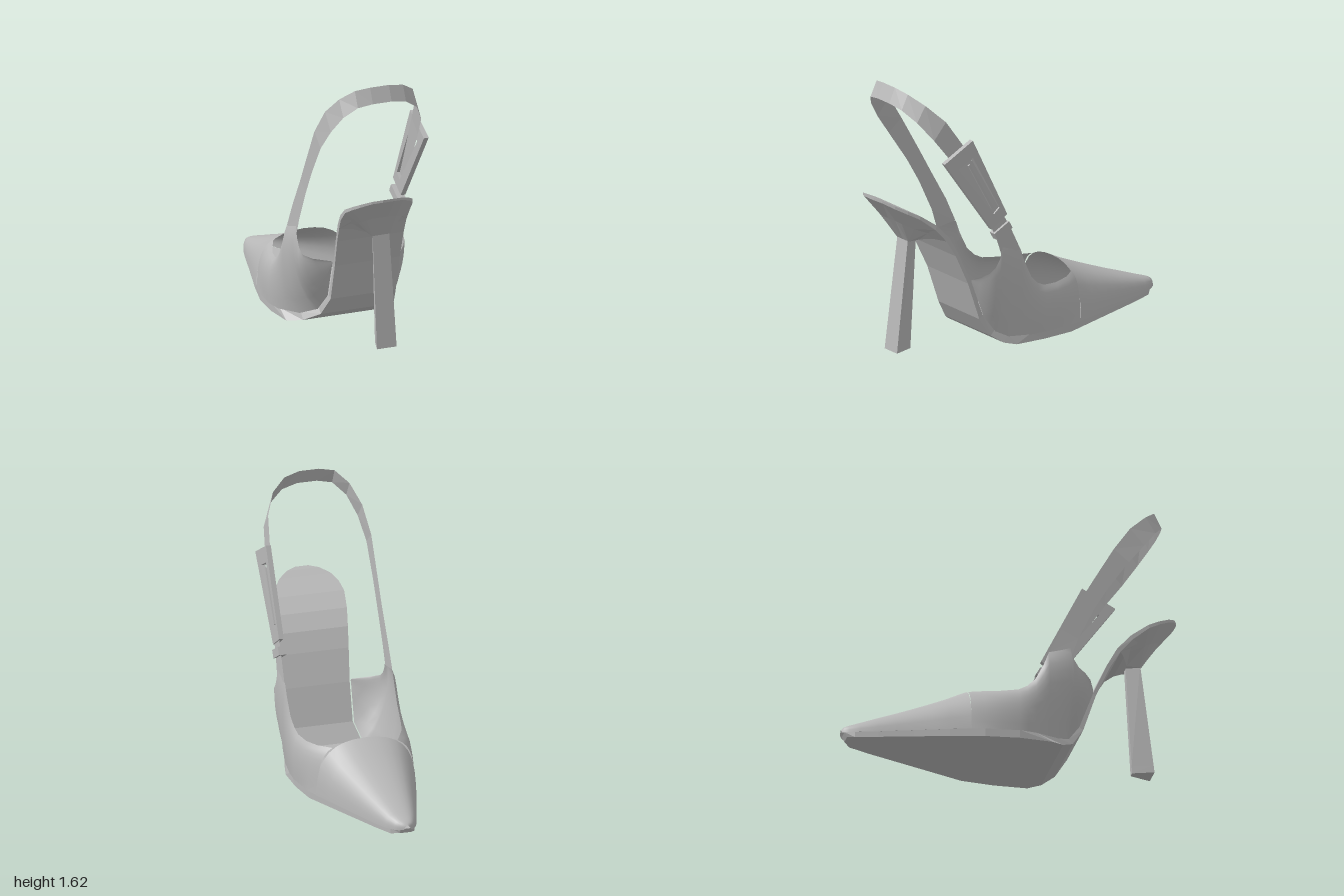
import * as THREE from 'three';

const grey = new THREE.MeshStandardMaterial({ color: 0xb8b8b8, side: THREE.DoubleSide });
grey.name = 'grey leather';

// Surface through rows of [x, y, z] points; closed rows wrap around.
function loft(rows, { closed = false, flat = false } = {}) {
  const n = rows[0].length, index = [];
  for (let i = 0; i < rows.length - 1; i++) {
    for (let j = 0; j < (closed ? n : n - 1); j++) {
      const k = (j + 1) % n, a = i * n + j, b = i * n + k, c = a + n, d = b + n;
      index.push(a, b, d, a, d, c);
    }
  }
  if (closed) {
    const last = (rows.length - 1) * n;
    for (let j = 1; j < n - 1; j++) {
      index.push(0, j + 1, j, last, last + j, last + j + 1);
    }
  }
  let g = new THREE.BufferGeometry();
  g.setAttribute('position', new THREE.Float32BufferAttribute(rows.flat(2), 3));
  g.setIndex(index);
  if (flat) g = g.toNonIndexed();
  g.computeVertexNormals();
  return g;
}

// Linear lookup in a table whose first column falls from heel to toe.
function lookup(table, z) {
  let i = 0;
  while (i < table.length - 2 && table[i + 1][0] > z) i++;
  const a = table[i], b = table[i + 1];
  const t = THREE.MathUtils.clamp((a[0] - z) / (a[0] - b[0]), 0, 1);
  return a.map((v, k) => THREE.MathUtils.lerp(v, b[k], t));
}

// Footbed stations: z, y, left edge x, right edge x, underside z, underside y
const SOLE = [
  [1.0, 0.965, -0.07, 0.01, 1.0, 0.95], [0.975, 0.955, -0.13, 0.07, 0.975, 0.94],
  [0.93, 0.93, -0.185, 0.13, 0.93, 0.912], [0.87, 0.9, -0.215, 0.175, 0.87, 0.88],
  [0.8, 0.865, -0.225, 0.205, 0.805, 0.845], [0.7, 0.795, -0.21, 0.23, 0.71, 0.77],
  [0.62, 0.71, -0.19, 0.24, 0.64, 0.69], [0.56, 0.6, -0.175, 0.25, 0.58, 0.59],
  [0.48, 0.42, -0.155, 0.26, 0.5, 0.41], [0.4, 0.2, -0.148, 0.268, 0.425, 0.18],
  [0.33, 0.1, -0.18, 0.285, 0.355, 0.07], [0.25, 0.06, -0.26, 0.31, 0.28, 0.02],
  [0.1, 0.05, -0.33, 0.33, 0.2, 0], [0, 0.05, -0.342, 0.335, 0, 0],
  [-0.2, 0.05, -0.32, 0.315, -0.2, 0], [-0.4, 0.05, -0.265, 0.245, -0.4, 0.005],
  [-0.6, 0.05, -0.2, 0.175, -0.6, 0.01], [-0.8, 0.05, -0.137, 0.105, -0.8, 0.015],
  [-0.93, 0.053, -0.093, 0.055, -0.93, 0.02], [-0.985, 0.06, -0.06, 0.01, -0.97, 0.03],
];

// Upper wall stations: z, top y, left top x, left bulge x, right top x, right bulge x
const WALL = [
  [0.48, 0.435, -0.17, -0.16, 0.275, 0.268], [0.44, 0.452, -0.27, -0.24, 0.31, 0.3],
  [0.4, 0.47, -0.315, -0.31, 0.335, 0.335], [0.36, 0.5, -0.32, -0.335, 0.342, 0.35],
  [0.33, 0.55, -0.32, -0.35, 0.343, 0.355], [0.31, 0.62, -0.32, -0.355, 0.343, 0.355],
  [0.25, 0.6, -0.32, -0.358, 0.343, 0.358], [0.18, 0.58, -0.32, -0.36, 0.34, 0.36],
  [0.15, 0.5, -0.322, -0.36, 0.337, 0.36], [0.1, 0.4, -0.322, -0.362, 0.332, 0.36],
  [0.05, 0.35, -0.32, -0.363, 0.325, 0.358], [0, 0.325, -0.312, -0.362, 0.318, 0.355],
  [-0.1, 0.318, -0.285, -0.35, 0.3, 0.345], [-0.2, 0.325, -0.24, -0.325, 0.265, 0.32],
  [-0.28, 0.33, -0.2, -0.3, 0.2, 0.285],
];

// Toe box stations: z, crown height
const TOE = [[-0.28, 0.372], [-0.4, 0.315], [-0.5, 0.275], [-0.6, 0.237], [-0.7, 0.2],
  [-0.8, 0.166], [-0.9, 0.13], [-0.96, 0.11], [-0.985, 0.1]];

function cubic(p, count) {
  const curve = new THREE.CubicBezierCurve3(...p.map((q) => new THREE.Vector3(...q)));
  return curve.getPoints(count).map((v) => v.toArray());
}

function wall(side) {
  const s = side < 0 ? 0 : 1;
  return loft(WALL.map((w) => {
    const z = w[0], sole = lookup(SOLE, z), yb = sole[1], dy = w[1] - yb, m = w[3 + 2 * s];
    return cubic([[sole[2 + s] + side * 0.008, yb - 0.005, z], [m, yb + 0.42 * dy, z],
      [m, yb + 0.85 * dy, z], [w[2 + 2 * s], w[1], z]], 8);
  }));
}

function toeBox() {
  const rows = TOE.map(([z, h]) => {
    const [, yb, l, r] = lookup(SOLE, z), c = (l + r) / 2, w = (r - l) / 2 + 0.012, d = h - yb;
    const half = (s) => cubic([[c + s * w, yb - 0.005, z], [c + s * w, yb + 0.75 * d, z],
      [c + s * 0.65 * w, h, z], [c, h, z]], 8);
    return [...half(-1), ...half(1).reverse().slice(1)];
  });
  rows.push(rows[0].map((p, j) => [-0.027 + 0.022 * (j / 8 - 1), 0.06 + 0.025 * Math.sin(j / 16 * Math.PI), -1]));
  return loft(rows);
}

// Cone under the heel seat, narrowing from the seat rim to the heel post
function heelCup() {
  const seat = SOLE.filter((s) => s[0] >= 0.62);
  const rim = [...seat.map((s) => [s[2], s[5], s[4]]), ...seat.map((s) => [s[3], s[5], s[4]]).reverse()];
  const clamp = THREE.MathUtils.clamp;
  const neck = rim.map(([x, , z]) => [clamp(x, -0.045, 0.068), 0.67, clamp(z, 0.71, 0.79)]);
  const mid = rim.map((p, i) => p.map((v, k) => (v + neck[i][k]) / 2 + (k === 1 ? 0.01 : 0)));
  return loft([rim, mid, neck], { closed: true, flat: true });
}

// Heel post section: wide flat back, narrow front
function postRow(y) {
  const t = y / 0.69, mix = THREE.MathUtils.lerp;
  const back = mix(0.875, 0.79, t), front = mix(0.75, 0.71, t), w = mix(0.063, 0.053, t);
  return [[0.01 - w, y, back], [0.01 + w, y, back], [0.03, y, front], [-0.01, y, front]];
}

// Sling strap: centre x, y, z then half-width vector y, z
const STRAP = [
  [0.343, 0.575, 0.25, 0.01, -0.066], [0.34, 0.71, 0.305, 0.025, -0.05],
  [0.332, 0.9, 0.405, 0.022, -0.042], [0.322, 1.05, 0.49, 0.025, -0.042],
  [0.305, 1.25, 0.615, 0.038, -0.045], [0.283, 1.39, 0.715, 0.05, -0.042],
  [0.22, 1.495, 0.805, 0.047, -0.03], [0.13, 1.555, 0.86, 0.045, -0.022],
  [0.03, 1.575, 0.88, 0.045, -0.02], [-0.09, 1.575, 0.88, 0.045, -0.02],
  [-0.18, 1.56, 0.865, 0.046, -0.022], [-0.25, 1.495, 0.805, 0.048, -0.03],
  [-0.295, 1.39, 0.715, 0.05, -0.042], [-0.317, 1.25, 0.615, 0.038, -0.045],
  [-0.315, 1.05, 0.49, 0.025, -0.042], [-0.314, 0.9, 0.405, 0.022, -0.042],
  [-0.316, 0.71, 0.305, 0.025, -0.05], [-0.32, 0.575, 0.25, 0.01, -0.066],
];

// Tapered buckle frame drawn in the (z, y) plane
function buckleFrame() {
  const pts = (list) => list.map((p) => new THREE.Vector2(...p));
  const shape = new THREE.Shape(pts([[0.725, 1.205], [0.39, 0.745], [0.28, 0.82], [0.525, 1.315]]));
  shape.holes.push(new THREE.Path(pts([[0.627, 1.155], [0.525, 1.21], [0.335, 0.87], [0.375, 0.835]])));
  const g = new THREE.ExtrudeGeometry(shape, { depth: 0.03, bevelEnabled: false });
  return g.rotateY(-Math.PI / 2).translate(0.345, 0, 0);
}

export function createModel() {
  const shoe = new THREE.Group();
  shoe.name = 'slingbackShoe';
  const add = (name, geometry) => {
    const mesh = new THREE.Mesh(geometry, grey);
    mesh.name = name;
    shoe.add(mesh);
    return mesh;
  };

  // Footbed and outsole in one strip
  add('sole', loft(SOLE.map(([z, y, l, r, zb, yb]) =>
    [[l, y, z], [r, y, z], [r, yb, zb], [l, yb, zb]]), { closed: true, flat: true }));

  // Upper
  add('toeBox', toeBox());
  add('leftWall', wall(1));
  add('rightWall', wall(-1));

  // Heel
  add('heelCup', heelCup());
  add('heelPost', loft([postRow(0.045), postRow(0.69)], { closed: true, flat: true }));
  add('heelTip', loft([postRow(0), postRow(0.045)], { closed: true, flat: true }));

  // Strap with buckle, prong and keeper
  add('slingStrap', loft(STRAP.map(([x, y, z, dy, dz]) =>
    [[x, y - dy, z - dz], [x, y + dy, z + dz]]), { flat: true }));
  add('buckleFrame', buckleFrame());
  const lean = Math.atan2(0.27, 0.48);
  const prong = add('buckleProng', new THREE.BoxGeometry(0.012, 0.34, 0.014));
  prong.position.set(0.338, 1.02, 0.465);
  prong.rotation.x = lean;
  const keeper = add('strapKeeper', new THREE.BoxGeometry(0.05, 0.05, 0.12));
  keeper.position.set(0.33, 0.725, 0.313);
  keeper.rotation.x = lean;
  return shoe;
}
